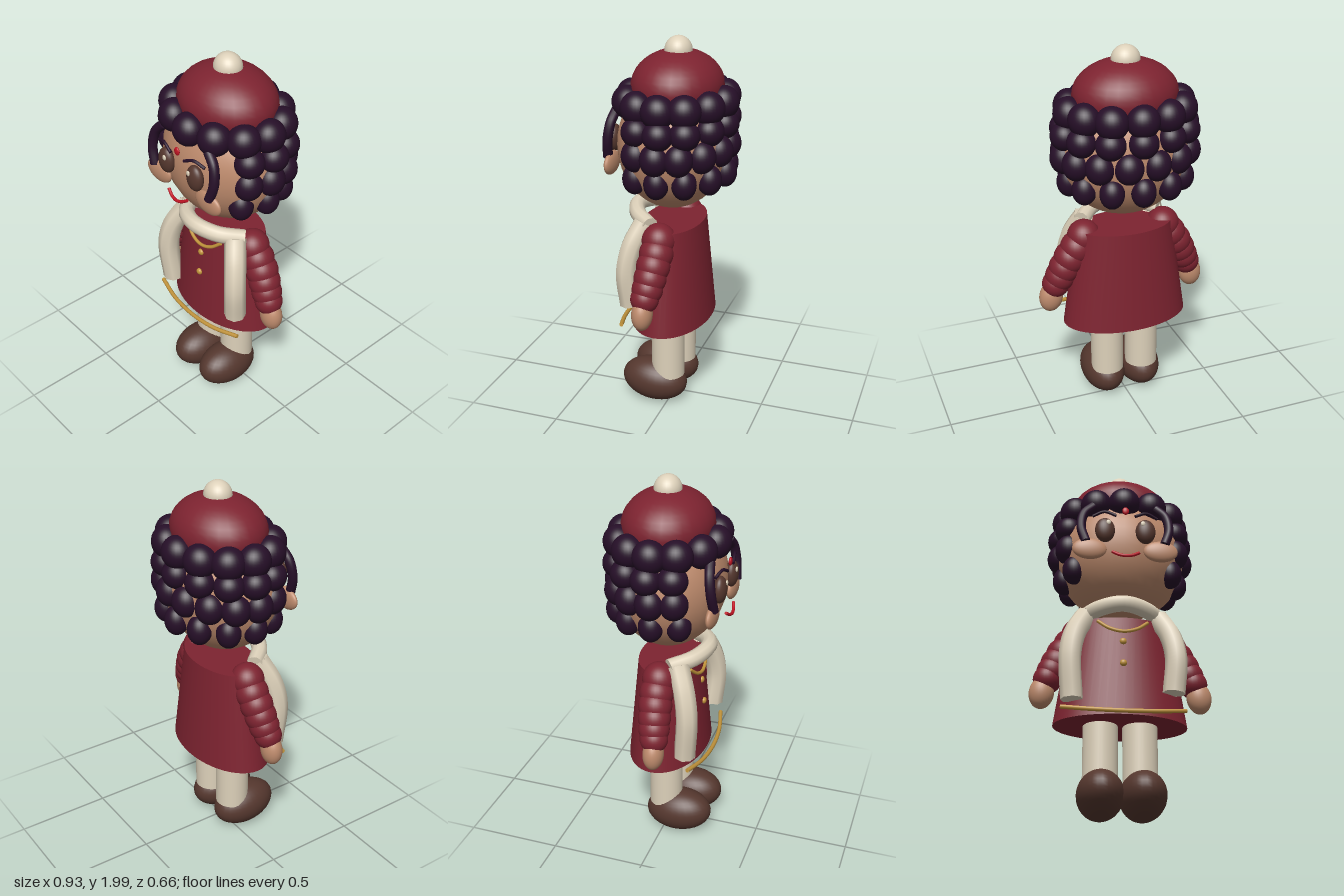
import * as THREE from 'three';

const paint = (name, color, side = THREE.FrontSide) => {
  const m = new THREE.MeshStandardMaterial({ color, side });
  m.name = name;
  return m;
};

export function createModel() {
  const root = new THREE.Group();
  root.name = 'doll';
  const red = paint('maroon cloth', 0x7d2330);
  const skin = paint('skin', 0xbd8a6c);
  const hair = paint('dark hair', 0x260f28);
  const cream = paint('cream wool', 0xddd1ba, THREE.DoubleSide);
  const brown = paint('brown', 0x55372e);
  const gold = paint('gold trim', 0xc0923a);
  const lips = paint('bright red', 0xc01424);
  const V = (p) => new THREE.Vector3(...p);

  const add = (name, geo, mat, pos = [0, 0, 0], parent = root) => {
    const m = new THREE.Mesh(geo, mat);
    m.name = name;
    m.position.set(...pos);
    parent.add(m);
    return m;
  };
  const ball = (name, mat, pos, r, parent = root) => {
    const m = add(name, new THREE.SphereGeometry(1, 28, 20), mat, pos, parent);
    m.scale.set(...r);
    return m;
  };
  // Tube along a smooth path, closed at both ends with flat discs
  const tube = (name, mat, pts, r, sides = 10, parent = root) => {
    const curve = new THREE.CatmullRomCurve3(pts.map(V));
    const g = new THREE.Group();
    g.name = name;
    add(name + 'Body', new THREE.TubeGeometry(curve, 24, r, sides), mat, [0, 0, 0], g);
    for (const t of [0, 1]) {
      const p = curve.getPoint(t);
      const cap = add(name + 'End', new THREE.CircleGeometry(r, sides), mat, p.toArray(), g);
      cap.lookAt(p.clone().addScaledVector(curve.getTangent(t), t ? 1 : -1));
    }
    parent.add(g);
  };

  // Head and hat
  ball('head', skin, [0, 1.46, 0], [0.345, 0.34, 0.285]);
  ball('hat', red, [0, 1.755, -0.015], [0.271, 0.18, 0.231]);
  ball('pompom', cream, [0, 1.927, -0.018], [0.074, 0.073, 0.07]);

  // Curls: a full ring under the hat, then open rows round the sides and back
  const curls = new THREE.Group();
  curls.name = 'curls';
  root.add(curls);
  const curlRow = (y, rx, rz, n, from, to, size) => {
    for (let i = 0; i < n; i++) {
      const a = THREE.MathUtils.degToRad(from + (to - from) * i / (n - 1));
      const c = ball('curl', hair, [rx * Math.sin(a), y, rz * Math.cos(a) - 0.012], size, curls);
      c.rotation.y = a;
    }
  };
  curlRow(1.685, 0.295, 0.243, 12, 0, 330, [0.084, 0.084, 0.078]);
  curlRow(1.575, 0.322, 0.25, 9, 63, 297, [0.076, 0.074, 0.072]);
  curlRow(1.455, 0.322, 0.25, 10, 62, 298, [0.074, 0.082, 0.072]);
  curlRow(1.325, 0.3, 0.255, 9, 58, 302, [0.063, 0.078, 0.062]);

  // Face
  ball('foreheadDot', lips, [0, 1.592, 0.305], [0.018, 0.022, 0.009]);
  tube('mouth', lips, [[-0.07, 1.343, 0.308], [-0.035, 1.322, 0.318], [0, 1.315, 0.322],
    [0.035, 1.322, 0.318], [0.07, 1.343, 0.308]], 0.008);

  // Left and right features
  for (const s of [-1, 1]) {
    const side = s > 0 ? 'left' : 'right';
    ball(side + 'Eye', brown, [s * 0.106, 1.483, 0.285], [0.052, 0.07, 0.034]);
    ball(side + 'EyeGlint', cream, [s * 0.09, 1.515, 0.314], [0.012, 0.015, 0.006]);
    tube(side + 'Brow', hair, [[s * 0.17, 1.568, 0.278], [s * 0.11, 1.588, 0.295],
      [s * 0.05, 1.562, 0.305]], 0.008);
    ball(side + 'Cheek', skin, [s * 0.185, 1.375, 0.272], [0.09, 0.06, 0.026]);
    tube(side + 'HairStrand', hair, [[s * 0.165, 1.645, 0.25], [s * 0.215, 1.59, 0.262],
      [s * 0.23, 1.5, 0.275], [s * 0.205, 1.41, 0.284]], 0.025, 12);

    // Sleeve of overlapping puffs, and hand
    const arm = new THREE.Group();
    arm.name = side + 'Arm';
    root.add(arm);
    const puffs = [[0.222, 1.0, 0.01, 0.088], [0.262, 0.94, 0.01, 0.088], [0.298, 0.885, 0.014, 0.087],
      [0.328, 0.83, 0.02, 0.084], [0.352, 0.78, 0.026, 0.08], [0.375, 0.735, 0.033, 0.073]];
    for (const [x, y, z, r] of puffs) ball('sleevePuff', red, [s * x, y, z], [r, r, r], arm);
    const hand = ball('hand', skin, [s * 0.402, 0.66, 0.038], [0.064, 0.085, 0.054], arm);
    hand.rotation.z = s * 0.12;

    // Leg and shoe
    add(side + 'Leg', new THREE.CylinderGeometry(0.089, 0.089, 0.42, 32), cream, [s * 0.1, 0.38, 0.005]);
    const shoe = ball(side + 'Shoe', brown, [s * 0.104, 0.125, 0.08], [0.117, 0.118, 0.181]);
    shoe.rotation.x = -0.08;

    // Hanging scarf end
    const drop = s > 0 ? 0.635 : 0.585;
    tube(side + 'ScarfEnd', cream, [[s * 0.19, 1.07, 0.1], [s * 0.245, 0.95, 0.15],
      [s * 0.268, 0.82, 0.172], [s * 0.255, drop, 0.158]], 0.057, 8);
  }

  // Dress: tapered, oval in plan
  const dress = add('dress', new THREE.CylinderGeometry(0.26, 0.342, 0.545, 48), red, [0, 0.7725, 0]);
  dress.scale.z = 0.6;
  tube('hemTrim', gold, [[-0.31, 0.532, 0.19], [-0.16, 0.512, 0.226], [0, 0.505, 0.238],
    [0.16, 0.512, 0.226], [0.31, 0.532, 0.19]], 0.011);
  tube('necklace', gold, [[-0.13, 1.025, 0.145], [-0.07, 0.978, 0.165], [0, 0.96, 0.172],
    [0.07, 0.978, 0.165], [0.13, 1.025, 0.145]], 0.009);
  for (const [y, z] of [[0.905, 0.168], [0.78, 0.182]]) ball('button', gold, [0, y, z], [0.018, 0.018, 0.014]);

  // Scarf loop across the chest
  tube('scarfLoop', cream, [[-0.215, 1.07, 0.06], [-0.12, 1.09, 0.16], [0, 1.103, 0.2],
    [0.12, 1.09, 0.16], [0.215, 1.07, 0.06]], 0.042, 10);

  return root;
}
